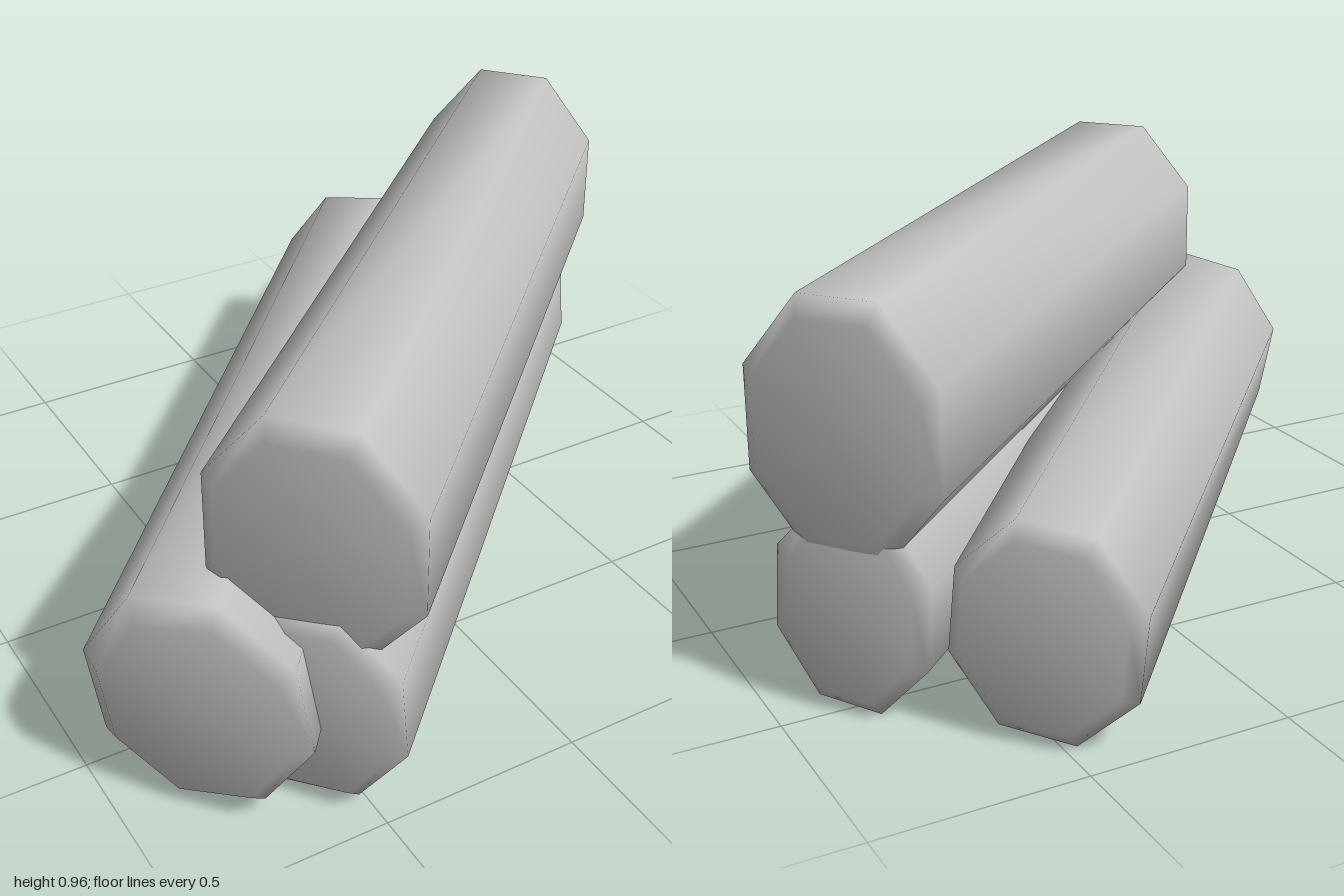
import * as THREE from 'three';

const SIDES = 8;
const wood = new THREE.MeshStandardMaterial({ color: 0xc2c2c2 });
wood.name = 'plain grey';

// A bevelled eight-sided log lofted through rings, front end to back end.
// Each ring: centre x, z; half-width vector hx, hz; centre height y; vertical radius r; roll in degrees.
function makeLog(name, rings) {
  const points = [];
  const faces = [];
  for (const { x, z, hx, hz, y, r, roll } of rings) {
    const angles = Array.from({ length: SIDES }, (_, j) =>
      THREE.MathUtils.degToRad(22.5 + 45 * j + roll));
    const widest = Math.max(...angles.map(Math.cos));
    for (const a of angles) {
      const k = Math.cos(a) / widest;
      points.push(x + hx * k, y + r * Math.sin(a), z + hz * k);
    }
  }
  const last = (rings.length - 1) * SIDES;
  const front = rings.length * SIDES;
  for (const c of [rings[0], rings[rings.length - 1]]) points.push(c.x, c.y, c.z);

  for (let j = 0; j < SIDES; j++) {
    const n = (j + 1) % SIDES;
    // bark and bevels
    for (let i = 0; i < last; i += SIDES) {
      const a = i + j, b = i + n;
      faces.push(a, a + SIDES, b, b, a + SIDES, b + SIDES);
    }
    // sawn ends
    faces.push(front, j, n, front + 1, last + n, last + j);
  }
  const geometry = new THREE.BufferGeometry();
  geometry.setAttribute('position', new THREE.Float32BufferAttribute(points, 3));
  geometry.setIndex(faces);
  geometry.computeVertexNormals();
  const mesh = new THREE.Mesh(geometry, wood);
  mesh.name = name;
  return mesh;
}

// Ring from centre, half-width vector, height, radius and roll
const ring = (x, z, hx, hz, y, r, roll = 0) => ({ x, z, hx, hz, y, r, roll });

export function createModel() {
  const group = new THREE.Group();
  group.name = 'logPile';

  group.add(makeLog('upperLog', [
    ring(-0.595, 0.83, 0.135, 0.17, 0.665, 0.27),
    ring(-0.57, 0.81, 0.16, 0.19, 0.665, 0.319),
    ring(0.83, -0.51, 0.15, 0.18, 0.665, 0.319),
    ring(0.855, -0.53, 0.125, 0.16, 0.665, 0.27),
  ]));

  group.add(makeLog('lowerFrontLog', [
    ring(-0.61, 0.85, 0.11, 0.15, 0.252, 0.225, 5),
    ring(-0.585, 0.825, 0.135, 0.175, 0.252, 0.264, 5),
    ring(0.825, -0.51, 0.125, 0.15, 0.252, 0.264, 5),
    ring(0.845, -0.53, 0.1, 0.125, 0.252, 0.225, 5),
  ]));

  group.add(makeLog('lowerBackLog', [
    ring(-0.835, 0.75, 0.145, 0.18, 0.275, 0.24, 10.7),
    ring(-0.81, 0.715, 0.17, 0.215, 0.275, 0.281, 10.7),
    ring(0.515, -0.835, 0.155, 0.165, 0.258, 0.269, 6),
    ring(0.54, -0.855, 0.13, 0.145, 0.258, 0.228, 6),
  ]));

  return group;
}
